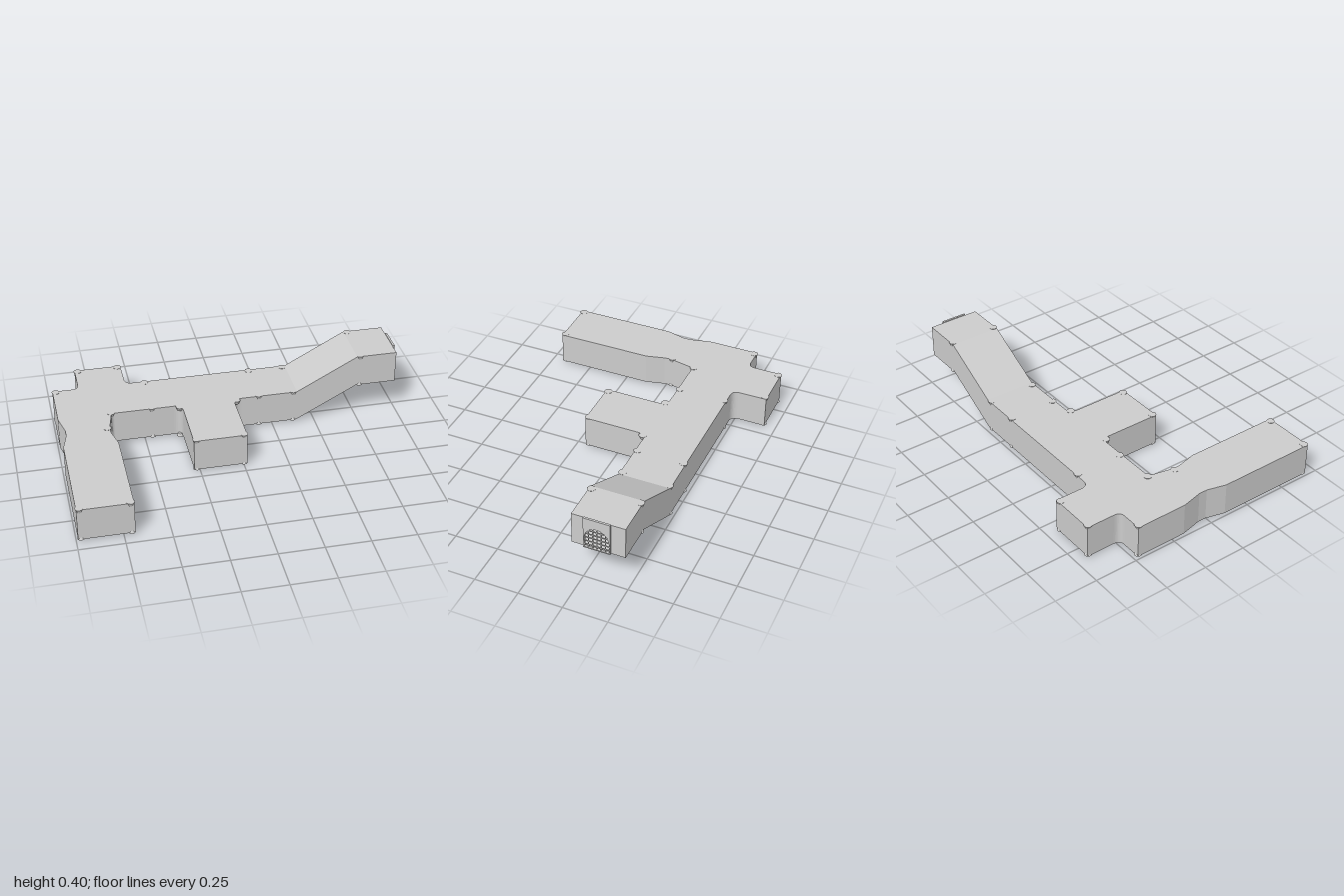
import * as THREE from 'three';

const grey = new THREE.MeshStandardMaterial({ color: 0xcccccc });
const grey2 = new THREE.MeshStandardMaterial({ color: 0xcccccc, side: THREE.DoubleSide });
const FLOOR = 0.01, H = 0.19, BACK = -0.48, FRONT = -0.18, END = 0.985;

function add(parent, name, geometry, material = grey) {
  const mesh = new THREE.Mesh(geometry, material);
  mesh.name = name;
  parent.add(mesh);
  return mesh;
}

// Flat corridors: one floor plan (x, z) raised to the wall height
function corridorGeometry() {
  const s = new THREE.Shape();
  s.moveTo(-0.99, BACK);
  s.lineTo(-0.875, BACK);
  s.quadraticCurveTo(-0.838, BACK, -0.838, -0.52);
  s.lineTo(-0.838, -0.685);
  s.lineTo(-0.565, -0.685);
  s.lineTo(-0.565, -0.525);
  s.quadraticCurveTo(-0.565, BACK, -0.52, BACK);
  s.lineTo(0.17, BACK);
  s.lineTo(0.17, FRONT);
  s.lineTo(0.065, FRONT);
  s.quadraticCurveTo(0.018, FRONT, 0.018, -0.13);
  s.lineTo(0.018, 0.195);
  s.lineTo(-0.283, 0.195);
  s.lineTo(-0.283, -0.13);
  s.quadraticCurveTo(-0.283, FRONT, -0.33, FRONT);
  s.lineTo(-0.67, FRONT);
  s.quadraticCurveTo(-0.69, FRONT, -0.693, -0.15);
  s.lineTo(-0.718, -0.03);
  s.lineTo(-0.715, 0.01);
  s.lineTo(-0.688, 0.12);
  s.lineTo(-0.688, 0.68);
  s.lineTo(-0.99, 0.68);
  s.lineTo(-0.99, 0.1);
  s.lineTo(-0.962, -0.01);
  s.lineTo(-0.962, -0.06);
  s.lineTo(-0.99, FRONT);
  s.closePath();
  const g = new THREE.ExtrudeGeometry(s, { depth: H, bevelEnabled: false, curveSegments: 8 });
  return g.rotateX(Math.PI / 2).translate(0, FLOOR + H, 0);
}

// Hollow rising corridor: four-cornered sections joined by quads
function rampGeometry() {
  const stations = [[0.17, FLOOR], [0.395, FLOOR], [0.75, 0.2], [END, 0.2]];
  const rings = stations.map(([x, y]) => [
    [x, y, BACK], [x, y, FRONT], [x, y + H, FRONT], [x, y + H, BACK],
  ]);
  const pos = [];
  for (let i = 0; i < 3; i++) {
    for (let k = 0; k < 4; k++) {
      const a = rings[i][k], b = rings[i + 1][k];
      const c = rings[i + 1][(k + 1) % 4], d = rings[i][(k + 1) % 4];
      pos.push(...a, ...b, ...c, ...a, ...c, ...d);
    }
  }
  const g = new THREE.BufferGeometry();
  g.setAttribute('position', new THREE.Float32BufferAttribute(pos, 3));
  g.computeVertexNormals();
  return g;
}

// Upright plate facing +x with an arched opening; u runs along -z
function archPlate(u0, u1, y0, y1, depth) {
  const s = new THREE.Shape();
  s.moveTo(u0, y0);
  s.lineTo(u1, y0);
  s.lineTo(u1, y1);
  s.lineTo(u0, y1);
  s.closePath();
  const hole = new THREE.Path();
  hole.moveTo(0.257, 0.206);
  hole.lineTo(0.393, 0.206);
  hole.lineTo(0.393, 0.27);
  hole.absarc(0.325, 0.27, 0.068, 0, Math.PI, false);
  hole.closePath();
  s.holes.push(hole);
  const g = new THREE.ExtrudeGeometry(s, { depth, bevelEnabled: false, curveSegments: 16 });
  return g.rotateY(Math.PI / 2);
}

export function createModel() {
  const model = new THREE.Group();
  model.name = 'corridors';
  add(model, 'flatCorridors', corridorGeometry());
  add(model, 'ramp', rampGeometry(), grey2);

  // End wall with a barred archway
  const gate = new THREE.Group();
  gate.name = 'gate';
  model.add(gate);
  add(gate, 'endWall', archPlate(-FRONT, -BACK, 0.2, 0.39, 0.003)).position.x = END - 0.003;
  add(gate, 'gateFrame', archPlate(0.25, 0.4, 0.2, 0.395, 0.012)).position.x = END;
  const archTop = (u) => 0.27 + Math.sqrt(Math.max(0, 0.068 ** 2 - (u - 0.325) ** 2));
  for (let i = -2; i <= 2; i++) {
    const u = 0.325 + i * 0.0235, top = archTop(u);
    add(gate, 'uprightBar', new THREE.BoxGeometry(0.005, top - 0.2, 0.005))
      .position.set(END + 0.006, (top + 0.2) / 2, -u);
  }
  for (let i = 0; i < 5; i++) {
    const y = 0.222 + i * 0.0235;
    const half = y < 0.27 ? 0.068 : Math.sqrt(0.068 ** 2 - (y - 0.27) ** 2);
    add(gate, 'crossBar', new THREE.BoxGeometry(0.005, 0.005, half * 2))
      .position.set(END + 0.006, y, -0.325);
  }

  // Corner posts showing as a capital above and a foot below
  const capital = new THREE.CylinderGeometry(0.023, 0.014, 0.022, 10);
  const foot = new THREE.CylinderGeometry(0.013, 0.021, 0.016, 10);
  const posts = [
    [-0.822, -0.671], [-0.585, -0.671], [-0.973, -0.467], [-0.455, -0.467],
    [0.17, -0.467], [0.375, -0.467], [0.77, -0.467, 0.19],
    [-0.69, -0.186], [-0.455, -0.193], [0.17, -0.193], [0.375, -0.193], [0.77, -0.193, 0.19],
    [-0.298, -0.165], [0.033, -0.165], [-0.267, 0.18], [0.001, 0.18],
    [-0.973, 0.667], [-0.706, 0.667], [-0.73, -0.035],
  ];
  for (const [x, z, lift = 0] of posts) {
    add(model, 'postCapital', capital).position.set(x, FLOOR + H + lift - 0.009, z);
    add(model, 'postFoot', foot).position.set(x, FLOOR + lift + 0.006, z);
  }

  // Round drains under the floor
  for (const [x, z] of [[-0.7, -0.58], [-0.13, 0.055]]) {
    add(model, 'drain', new THREE.CylinderGeometry(0.03, 0.026, 0.012, 14)).position.set(x, 0.006, z);
  }
  return model;
}
